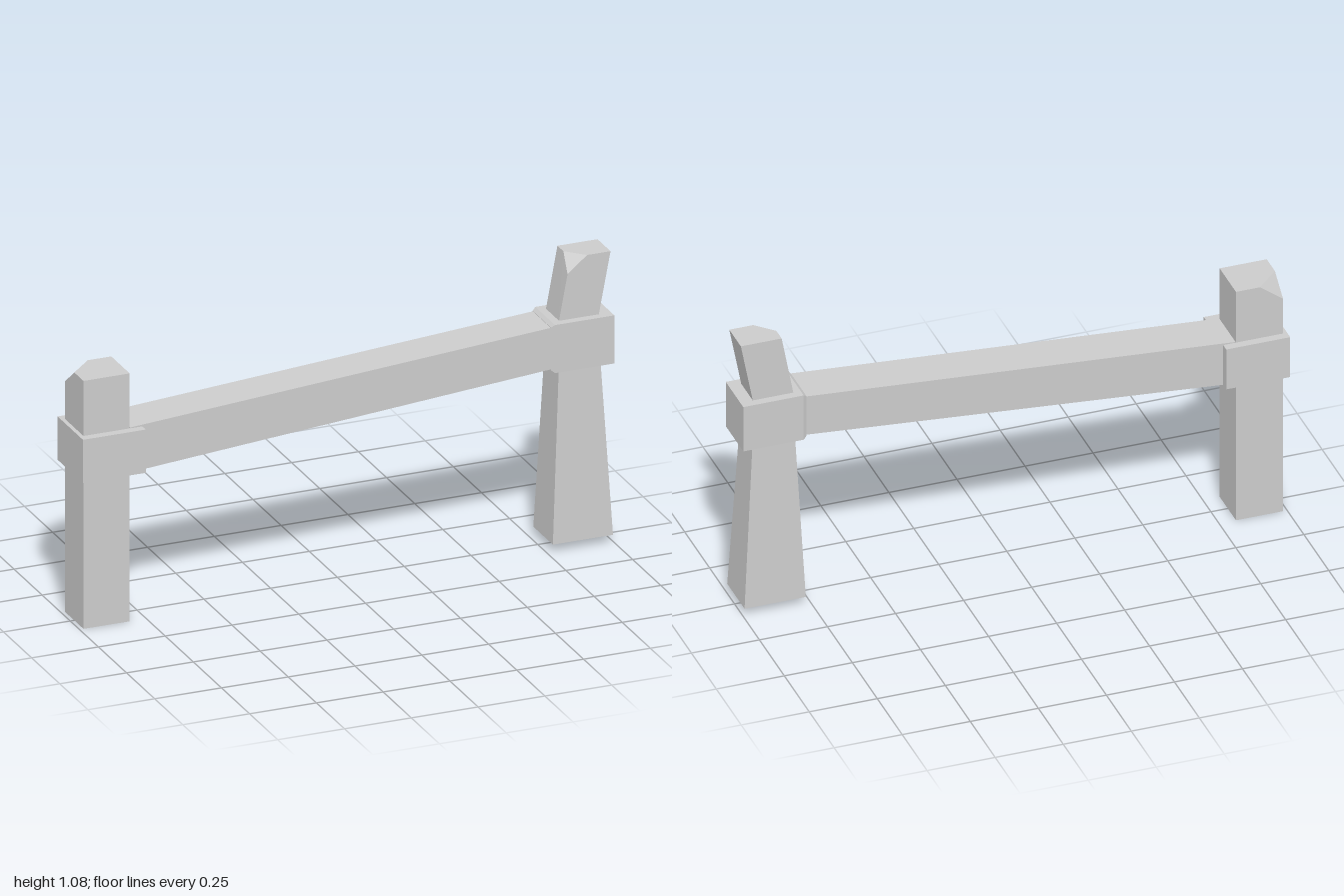
import * as THREE from 'three';
import { ConvexGeometry } from 'three/addons/geometries/ConvexGeometry.js';

const material = new THREE.MeshStandardMaterial({ color: 0xcccccc, flatShading: true });

// Four corners of a horizontal rectangle at height y
const ring = (y, x0, x1, z) => [[x0, y, -z], [x1, y, -z], [x1, y, z], [x0, y, z]];

// Four corners of an upright rectangle at position x
const section = (x, y0, y1, z) => [[x, y0, -z], [x, y1, -z], [x, y1, z], [x, y0, z]];

// Flat-faced convex solid through the given corners
function solid(name, corners) {
  const points = corners.map((c) => new THREE.Vector3(...c));
  const mesh = new THREE.Mesh(new ConvexGeometry(points), material);
  mesh.name = name;
  return mesh;
}

export function createModel() {
  const group = new THREE.Group();
  group.name = 'fenceRail';

  group.add(
    // Straight post, its back outer top corner cut off
    solid('straightPost', [
      ...ring(0, -0.985, -0.812, 0.082),
      [-0.812, 0.928, -0.082], [-0.812, 0.928, 0.082], [-0.985, 0.928, 0.082],
      [-0.985, 0.928, 0], [-0.9, 0.928, -0.082], [-0.985, 0.863, -0.082],
    ]),
    // Collar around the straight post
    solid('straightPostCollar', [
      ...section(-1, 0.56, 0.722, 0.113),
      ...section(-0.765, 0.56, 0.722, 0.113),
    ]),
    // Sloping rail between the collars
    solid('rail', [
      ...section(-0.81, 0.557, 0.725, 0.082),
      ...section(0.8, 0.687, 0.842, 0.08),
    ]),
    // Collar of the tapered post, slightly bevelled towards the rail
    solid('taperedPostCollar', [
      ...section(0.765, 0.681, 0.841, 0.081),
      ...section(0.778, 0.671, 0.851, 0.088),
      ...section(1, 0.671, 0.851, 0.088),
    ]),
    // Tapered post below its collar
    solid('taperedPost', [
      ...ring(0.03, 0.77, 0.995, 0.087),
      ...ring(0.69, 0.802, 0.957, 0.064),
    ]),
    // Leaning stub on top, its front inner corner cut off
    solid('leaningTop', [
      ...ring(0.845, 0.804, 0.953, 0.058),
      [0.848, 1.08, -0.058], [0.998, 1.08, -0.058], [0.998, 1.08, 0.058],
      [0.91, 1.08, 0.058], [0.848, 1.08, -0.005], [0.837, 1.02, 0.058],
    ]),
  );
  return group;
}
